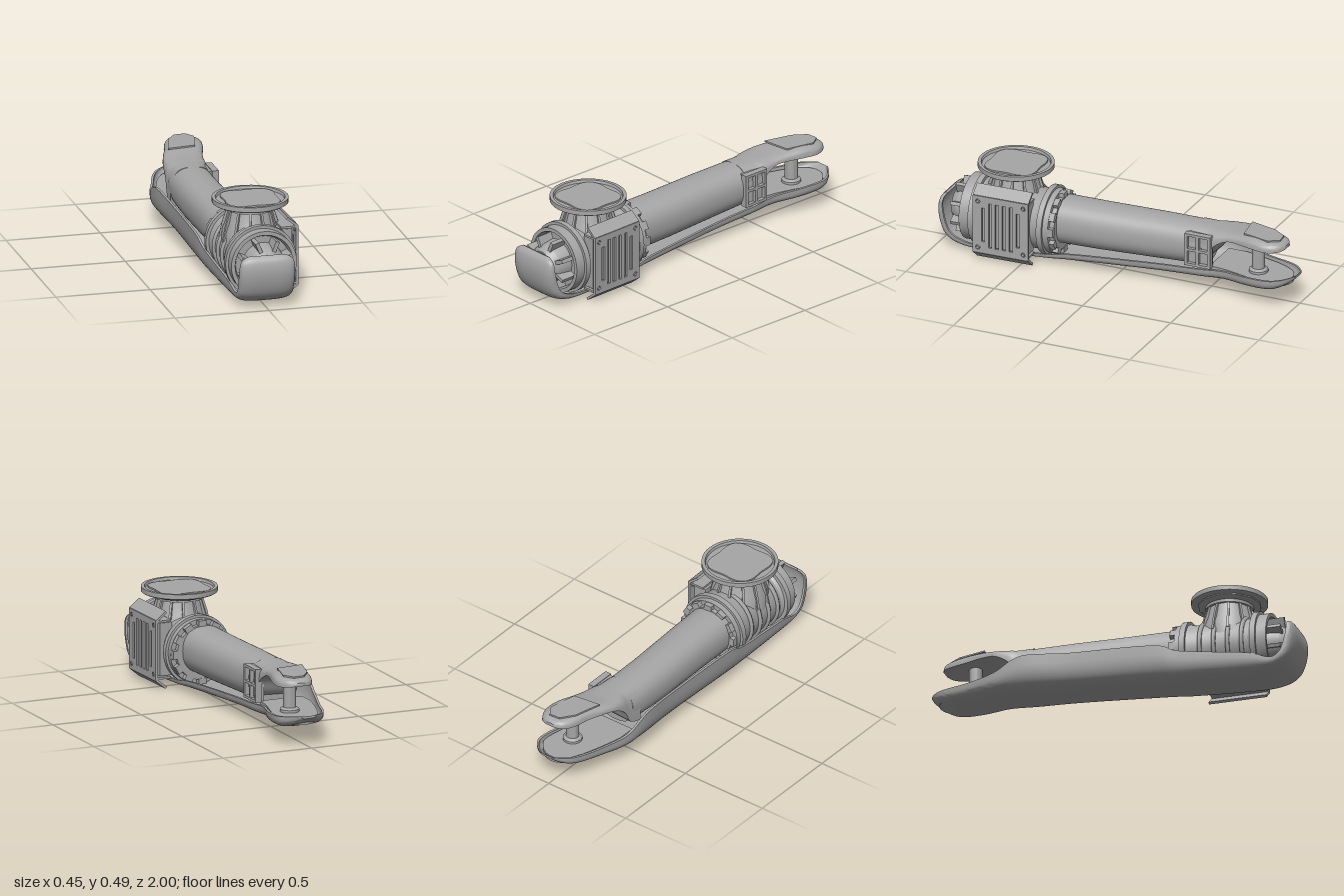
import * as THREE from 'three';
import { toCreasedNormals } from 'three/addons/utils/BufferGeometryUtils.js';

const V = (x, y, z) => new THREE.Vector3(x, y, z);

// Skin a list of closed rings and zip both ends shut
function loft(rings, crease = 0.6) {
  const n = rings[0].length, pos = [], idx = [];
  rings.forEach(r => r.forEach(p => pos.push(p.x, p.y, p.z)));
  for (let s = 0; s < rings.length - 1; s++) {
    for (let i = 0; i < n; i++) {
      const a = s * n + i, b = s * n + (i + 1) % n;
      idx.push(a, a + n, b, b, a + n, b + n);
    }
  }
  const last = (rings.length - 1) * n;
  for (let i = 0; i < n / 2 - 1; i++) {
    const a = i, b = i + 1, c = n - 2 - i, d = n - 1 - i;
    idx.push(a, b, c, a, c, d, last + a, last + c, last + b, last + a, last + d, last + c);
  }
  const g = new THREE.BufferGeometry();
  g.setAttribute('position', new THREE.Float32BufferAttribute(pos, 3));
  g.setIndex(idx);
  return toCreasedNormals(g, crease);
}

// Trough section: [z, y, tilt, centreX, halfWidth, leftEdge, rightEdge]; a wall makes it hollow
function trough([z, y, tilt, cx, hw, hl, hr], wall, power = 0.6, steps = 24) {
  const arc = t => {
    const pts = [];
    for (let i = 0; i <= steps; i++) {
      const a = Math.PI * i / steps, c = Math.cos(a), h = c > 0 ? hl : hr;
      const u = h - (h - t) * Math.pow(Math.max(0, Math.sin(a)), power);
      const x = cx - Math.max(hw - t, 0.003) * Math.sign(c) * Math.pow(Math.abs(c), power);
      pts.push(V(x, y + u * Math.cos(tilt), z - u * Math.sin(tilt)));
    }
    return pts;
  };
  return wall ? [...arc(0), ...arc(wall).reverse()] : arc(0);
}

// Smooth the stations with a spline per column
function smooth(stations, count) {
  const out = [];
  for (let i = 0; i <= count; i++) {
    const f = i / count * (stations.length - 1), k = Math.min(Math.floor(f), stations.length - 2), t = f - k;
    const at = j => stations[Math.max(0, Math.min(stations.length - 1, j))];
    out.push(stations[0].map((_, c) => {
      const a = at(k)[c], b = at(k + 1)[c];
      const m = (b - at(k - 1)[c]) / 2, q = (at(k + 2)[c] - a) / 2;
      return (2 * t ** 3 - 3 * t * t + 1) * a + (t ** 3 - 2 * t * t + t) * m + (3 * t * t - 2 * t ** 3) * b + (t ** 3 - t * t) * q;
    }));
  }
  return out;
}

export function createModel() {
  const model = new THREE.Group();
  const grey = new THREE.MeshStandardMaterial({ color: 0xa6a6a6, side: THREE.DoubleSide });
  grey.name = 'castGrey';
  const add = (name, geo, x = 0, y = 0, z = 0, parent = model) => {
    const m = new THREE.Mesh(geo, grey);
    m.name = name;
    m.position.set(x, y, z);
    parent.add(m);
    return m;
  };
  const box = (name, w, h, d, x, y, z, parent) => add(name, new THREE.BoxGeometry(w, h, d), x, y, z, parent);
  const lathe = (pts, seg = 48) => toCreasedNormals(
    new THREE.LatheGeometry(pts.map(p => new THREE.Vector2(...p)), seg), 0.5);

  // Lower shell: wraps up at the nose, runs under the arm, tapers at the tail
  const shell = smooth([
    [.965, .291, 1.9, 0, .1, .012, .012], [.99, .265, 1.65, 0, .138, .03, .03],
    [1.0, .2, 1.5, 0, .147, .045, .045], [.985, .12, 1.15, 0, .147, .05, .05],
    [.95, .06, .8, 0, .147, .05, .05], [.88, .025, .3, 0, .147, .055, .045],
    [.75, .013, 0, -.01, .15, .1, .035], [.4, .022, 0, -.035, .15, .14, .035],
    [.25, .03, 0, -.045, .153, .18, .05], [-.2, .055, 0, -.06, .146, .175, .055],
    [-.45, .068, 0, -.067, .157, .175, .06], [-.6, .077, 0, -.06, .15, .1, .065],
    [-.75, .087, 0, -.015, .15, .075, .07], [-.88, .1, 0, .013, .137, .065, .065],
    [-.95, .125, 0, .015, .1, .045, .045], [-.998, .162, 0, .014, .04, .014, .014],
  ], 75);
  add('lowerShell', loft(shell.map(s => trough(s, .013))));

  // Tail floor set into the shell
  const floor = new THREE.Shape();
  floor.moveTo(-.17, .52);
  floor.lineTo(.07, .52);
  floor.splineThru([[.08, .62], [.115, .76], [.128, .87], [.08, .94], [.015, .965], [-.05, .94], [-.1, .86],
    [-.14, .74], [-.17, .62]].map(p => new THREE.Vector2(...p)));
  const floorGeo = new THREE.ExtrudeGeometry(floor, { depth: .03, bevelEnabled: false, curveSegments: 6 });
  add('tailFloor', floorGeo.rotateX(-Math.PI / 2), 0, .122, 0);

  // Arm tube
  const tube = [[.36, -.01, .125, .1], [.1, -.017, .12, .102], [-.2, -.03, .117, .11], [-.4, -.032, .115, .12],
    [-.48, -.03, .114, .13]];
  add('armTube', loft(tube.map(([z, cx, hw, low]) => {
    const ring = [];
    for (let i = 0; i < 48; i++) {
      const a = Math.PI * 2 * i / 48, c = Math.cos(a), s = Math.sin(a);
      ring.push(V(cx + hw * Math.sign(c) * Math.abs(c) ** .85,
        (low + .345) / 2 + (.345 - low) / 2 * Math.sign(s) * Math.abs(s) ** .85, z));
    }
    return ring;
  })));

  // Upper tongue growing out of the tube
  const tongue = smooth([
    [-.42, .345, Math.PI, -.032, .115, .2, .2], [-.5, .345, Math.PI, -.03, .114, .17, .16],
    [-.545, .346, Math.PI, -.03, .112, .09, .08], [-.62, .349, Math.PI, -.027, .108, .045, .04],
    [-.7, .36, Math.PI, -.008, .105, .045, .045], [-.78, .368, Math.PI, .018, .103, .052, .052],
    [-.86, .364, Math.PI, .032, .098, .05, .05], [-.92, .355, Math.PI, .035, .07, .038, .038],
    [-.945, .34, Math.PI, .035, .03, .018, .018],
  ], 40);
  add('upperTongue', loft(tongue.map(s => trough(s, 0))));
  const pad = new THREE.Shape([[-.09, .69], [.06, .71], [.095, .86], [.06, .915], [-.0, .91], [-.05, .84]]
    .map(p => new THREE.Vector2(...p)));
  add('tonguePad', new THREE.ExtrudeGeometry(pad, { depth: .008, bevelEnabled: false })
    .rotateX(-Math.PI / 2), 0, .36, 0);

  // Pin joining tongue and tail
  add('pin', lathe([[0, .145], [.05, .145], [.05, .165], [.04, .172], [.034, .175], [.034, .33], [0, .33]]), .02, 0, -.775);

  // Lattice window beside the tube end
  box('latticeBacking', .03, .17, .13, .065, .235, -.465);
  for (const z of [-.4, -.465, -.53]) box('latticePost', .035, .175, .015, .085, .235, z);
  for (const y of [.153, .235, .317]) box('latticeBar', .035, .014, .145, .085, y, -.465);

  // Motor housing, turned about the arm's axis
  const motor = new THREE.Group();
  motor.name = 'motorHousing';
  motor.position.set(.007, .207, .6);
  motor.rotation.y = .025;
  model.add(motor);
  add('housingBody', lathe([[0, -.27], [.145, -.27], [.145, -.245], [.17, -.245], [.17, -.215], [.184, -.215],
    [.184, -.185], [.168, -.185], [.16, -.16], [.16, .15], [.17, .165], [.19, .165], [.19, .195], [.175, .195],
    [.175, .25], [.155, .25], [.145, .225], [.11, .225], [.1, .3], [.075, .335], [0, .34]])
    .rotateX(Math.PI / 2), 0, 0, 0, motor);
  for (let i = 0; i < 8; i++) {
    const spoke = new THREE.Group();
    spoke.name = 'noseRib';
    spoke.rotation.z = (i + .5) * Math.PI / 4;
    motor.add(spoke);
    box('noseRibFin', .07, .02, .1, .11, 0, .265, spoke);
  }
  for (let i = 0; i < 12; i++) {
    const lug = new THREE.Group();
    lug.name = 'rearLug';
    lug.rotation.z = i * Math.PI / 6;
    motor.add(lug);
    box('rearLugBlock', .03, .045, .03, .152, 0, -.258, lug);
  }
  // Curved ribs on the far side of the housing
  for (const z of [-.11, -.035, .04, .115]) {
    const rib = add('housingRib', new THREE.TorusGeometry(.163, .012, 6, 32, Math.PI * 1.05), 0, 0, z, motor);
    rib.rotation.z = Math.PI * .42;
  }

  // Neck and mounting flange on top
  const neck = new THREE.Group();
  neck.name = 'neck';
  neck.position.set(.004, 0, .605);
  model.add(neck);
  add('neckCone', lathe([[.15, .25], [.145, .33], [.128, .37], [.112, .438], [.125, .438], [.125, .456], [0, .456]]),
    0, 0, 0, neck);
  add('flangeCollar', lathe([[0, .454], [.15, .454], [.164, .462], [.164, .475], [0, .475]], 12), 0, 0, 0, neck);
  add('mountingFlange', lathe([[0, .468], [.19, .468], [.198, .473], [.198, .498], [.18, .498], [.176, .484], [0, .484]],
    40), 0, 0, 0, neck);
  const plateShape = new THREE.Shape();
  for (let i = 0; i < 48; i++) {
    const a = i * Math.PI / 24, r = .153 + .016 * Math.cos(4 * a);
    plateShape[i ? 'lineTo' : 'moveTo'](r * Math.cos(a), r * Math.sin(a));
  }
  add('flangePad', new THREE.ExtrudeGeometry(plateShape, { depth: .009, bevelEnabled: false })
    .rotateX(-Math.PI / 2), 0, .483, 0, neck).rotation.y = Math.PI / 4;
  for (let i = 0; i < 12; i++) {
    const spoke = new THREE.Group();
    spoke.name = 'neckRib';
    spoke.rotation.y = (i + .5) * Math.PI / 6;
    neck.add(spoke);
    const fin = new THREE.Shape([[.09, .28], [.163, .28], [.146, .36], [.122, .437], [.09, .437]]
      .map(p => new THREE.Vector2(...p)));
    add('neckRibFin', new THREE.ExtrudeGeometry(fin, { depth: .012, bevelEnabled: false }), 0, 0, -.006, spoke);
  }

  // Slotted side cover with bent lips
  const cover = new THREE.Group();
  cover.name = 'sideCover';
  cover.position.set(.212, .21, .595);
  cover.rotation.y = .025;
  model.add(cover);
  const rect = (w, h, x, y, S) => new S([[x - w, y - h], [x + w, y - h], [x + w, y + h], [x - w, y + h]]
    .map(p => new THREE.Vector2(...p)));
  const face = rect(.155, .16, 0, 0, THREE.Shape);
  for (let i = 0; i < 6; i++) {
    const h = i === 0 || i === 5 ? .095 : .125;
    face.holes.push(rect(.0095, h, (i - 2.5) * .039, 0, THREE.Path));
  }
  for (const z of [-.127, .127]) {
    for (const y of [-.13, .13]) {
      const hole = new THREE.Path();
      hole.absarc(z, y, .012, 0, Math.PI * 2);
      face.holes.push(hole);
      add('coverBolt', new THREE.CylinderGeometry(.008, .008, .02, 12).rotateZ(Math.PI / 2), 0, y, z, cover);
    }
  }
  add('coverFace', new THREE.ExtrudeGeometry(face, { depth: .013, bevelEnabled: false })
    .rotateY(-Math.PI / 2), .0065, 0, 0, cover);
  box('coverBacking', .07, .28, .28, -.06, 0, 0, cover);
  for (const s of [-1, 1]) {
    box('coverShelf', .08, .011, .3, -.045, s * .15, 0, cover);
    const lip = box('coverLip', .07, .013, .31, -.027, s * .179, 0, cover);
    lip.rotation.z = -s * .68;
  }
  return model;
}
